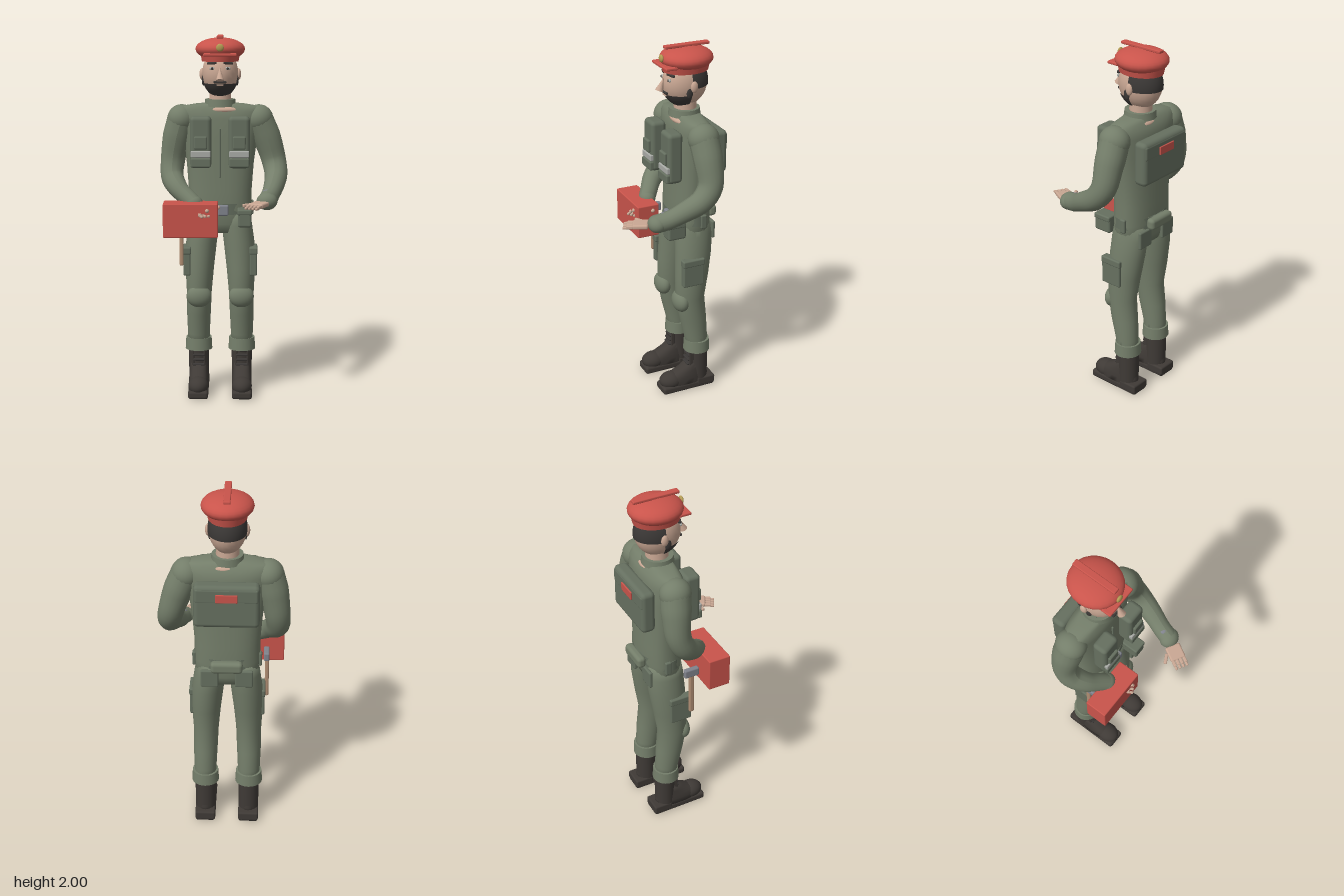
import * as THREE from 'three';
import { RoundedBoxGeometry } from 'three/addons/geometries/RoundedBoxGeometry.js';

const C = -0.022; // body centre line
const colour = (name, hex) => {
  const m = new THREE.MeshStandardMaterial({ color: hex });
  m.name = name;
  return m;
};

// Vertical loft through rings [x, y, z, rx, rz], listed from bottom to top
function loft(rings, power = 2, n = 28) {
  const pos = [], idx = [];
  const bend = v => Math.sign(v) * Math.abs(v) ** (2 / power);
  rings.forEach(([x, y, z, rx, rz]) => {
    for (let j = 0; j < n; j++) {
      const a = (j / n) * Math.PI * 2;
      pos.push(x + rx * bend(Math.cos(a)), y, z + rz * bend(Math.sin(a)));
    }
  });
  for (let i = 0; i < rings.length - 1; i++) for (let j = 0; j < n; j++) {
    const a = i * n + j, b = i * n + (j + 1) % n;
    idx.push(a, a + n, b, b, a + n, b + n);
  }
  const top = (rings.length - 1) * n;
  for (let j = 1; j < n - 1; j++) idx.push(0, j, j + 1, top, top + j + 1, top + j);
  const g = new THREE.BufferGeometry();
  g.setAttribute('position', new THREE.Float32BufferAttribute(pos, 3));
  g.setIndex(idx);
  g.computeVertexNormals();
  return g;
}

// Tapered tube through points [x, y, z, radius]
function limb(pts, n = 24, sides = 18) {
  const curve = new THREE.CatmullRomCurve3(pts.map(p => new THREE.Vector3(p[0], p[1], p[2])));
  const g = new THREE.TubeGeometry(curve, n, 1, sides);
  const p = g.attributes.position, v = new THREE.Vector3();
  for (let i = 0; i <= n; i++) {
    const c = curve.getPointAt(i / n), f = (i / n) * (pts.length - 1);
    const k = Math.min(Math.floor(f), pts.length - 2);
    const r = THREE.MathUtils.lerp(pts[k][3], pts[k + 1][3], f - k);
    for (let j = 0; j <= sides; j++) {
      const q = i * (sides + 1) + j;
      v.fromBufferAttribute(p, q).sub(c).multiplyScalar(r).add(c);
      p.setXYZ(q, v.x, v.y, v.z);
    }
  }
  g.computeVertexNormals();
  return g;
}

export function createModel() {
  const model = new THREE.Group();
  const green = colour('uniform green', 0x747e6a);
  const olive = colour('gear green', 0x667060);
  const red = colour('red', 0xc9544b);
  const skin = colour('skin', 0xc9a793);
  const leather = colour('boot leather', 0x3f3a36);
  const hair = colour('hair', 0x3b3836);
  const metal = colour('metal grey', 0x80838c);
  const silver = colour('pale grey', 0xa9aba6);
  const gold = colour('gold', 0xb39b54);
  const wood = colour('wood', 0xb08d72);

  const add = (name, geo, mat, x = 0, y = 0, z = 0, parent = model) => {
    const m = new THREE.Mesh(geo, mat);
    m.name = name;
    m.position.set(x, y, z);
    parent.add(m);
    return m;
  };
  const box = (name, mat, w, h, d, x, y, z, r = 0.008, parent = model) =>
    add(name, new RoundedBoxGeometry(w, h, d, 2, Math.min(r, w / 2.1, h / 2.1, d / 2.1)), mat, x, y, z, parent);
  const ball = (name, mat, rx, ry, rz, x, y, z, ...arc) => {
    const m = add(name, new THREE.SphereGeometry(1, 24, 16, ...arc), mat, x, y, z);
    m.scale.set(rx, ry, rz);
    return m;
  };
  const ring = (name, mat, rt, rb, h, x, y, z, sx = 1, sz = 1) => {
    const m = add(name, new THREE.CylinderGeometry(rt, rb, h, 24), mat, x, y, z);
    m.scale.set(sx, 1, sz);
    return m;
  };

  // Torso, collar and belt
  add('torso', loft([
    [C, 0.92, -0.14, 0.14, 0.085], [C, 0.97, -0.14, 0.17, 0.1], [C, 1.05, -0.14, 0.176, 0.107],
    [C, 1.15, -0.14, 0.174, 0.104], [C, 1.3, -0.14, 0.185, 0.102], [C, 1.45, -0.14, 0.205, 0.1],
    [C, 1.55, -0.138, 0.23, 0.095], [C, 1.59, -0.135, 0.236, 0.085], [C, 1.615, -0.132, 0.222, 0.068],
    [C, 1.63, -0.13, 0.13, 0.06], [C, 1.635, -0.13, 0.05, 0.04]], 2.4), green);
  ball('neckBase', skin, 0.125, 0.03, 0.084, C + 0.02, 1.598, -0.13);
  ring('collar', green, 0.082, 0.087, 0.04, C, 1.635, -0.126);
  ring('neck', skin, 0.058, 0.062, 0.12, C, 1.67, -0.13);
  box('zip', olive, 0.008, 0.27, 0.012, C, 1.365, -0.037, 0.003);
  ring('belt', olive, 0.18, 0.18, 0.06, C, 1.055, -0.14, 1, 0.62);
  box('buckle', metal, 0.06, 0.058, 0.03, -0.006, 1.052, -0.024);
  box('frontBeltPouch', olive, 0.075, 0.095, 0.105, 0.113, 1.015, -0.008, 0.012);
  box('frontBeltPouchFlap', olive, 0.08, 0.03, 0.108, 0.113, 1.05, -0.006);
  box('backBeltRoll', green, 0.17, 0.065, 0.05, C, 1.055, -0.265, 0.02);

  // Pouches, pockets, legs and boots on both sides
  for (const s of [-1, 1]) {
    const px = C + s * 0.104, lx = o => C + s * o;
    box('chestPouch', olive, 0.115, 0.28, 0.085, px, 1.43, -0.002, 0.022);
    box('chestPocket', olive, 0.07, 0.07, 0.02, px, 1.43, 0.046);
    box('chestBand', silver, 0.108, 0.036, 0.022, px, 1.368, 0.039, 0.006);
    box('chestFlap', olive, 0.11, 0.05, 0.025, px, 1.322, 0.04);
    box('backPocket', olive, 0.095, 0.1, 0.02, lx(0.092), 0.97, -0.242);
    box('sideBeltLoop', olive, 0.02, 0.08, 0.035, lx(0.176), 1.05, -0.16);

    add('leg', loft([
      [lx(0.122), 0.24, -0.152, 0.06, 0.062], [lx(0.122), 0.33, -0.147, 0.062, 0.066],
      [lx(0.121), 0.45, -0.128, 0.067, 0.078], [lx(0.118), 0.58, -0.11, 0.07, 0.084],
      [lx(0.115), 0.72, -0.122, 0.08, 0.095], [lx(0.105), 0.86, -0.135, 0.086, 0.103],
      [lx(0.092), 0.96, -0.14, 0.085, 0.104], [lx(0.085), 1.03, -0.14, 0.08, 0.095]]), green);
    ball('kneePad', green, 0.07, 0.063, 0.045, lx(0.118), 0.562, -0.054);
    box('thighPocket', olive, 0.04, 0.155, 0.125, lx(0.184), 0.76, -0.095);
    box('thighPocketFlap', olive, 0.046, 0.04, 0.13, lx(0.184), 0.822, -0.095);
    ring('trouserCuff', green, 0.072, 0.076, 0.068, lx(0.122), 0.272, -0.153, 1, 0.98);

    // Boot: shaft, foot, toe, sole and laces
    ring('bootShaft', leather, 0.058, 0.056, 0.2, lx(0.122), 0.15, -0.16);
    add('bootFoot', loft([
      [lx(0.122), 0.04, -0.08, 0.055, 0.14], [lx(0.122), 0.075, -0.082, 0.056, 0.138],
      [lx(0.122), 0.1, -0.1, 0.052, 0.115], [lx(0.122), 0.13, -0.13, 0.048, 0.083],
      [lx(0.122), 0.16, -0.15, 0.045, 0.063]], 2.3), leather);
    ball('bootToe', leather, 0.056, 0.05, 0.07, lx(0.122), 0.063, 0.005);
    box('sole', leather, 0.112, 0.045, 0.32, lx(0.122), 0.0235, -0.087, 0.015);
    box('heel', leather, 0.114, 0.05, 0.11, lx(0.122), 0.038, -0.193, 0.01);
    for (let i = 0; i < 5; i++)
      box('lace', hair, 0.066, 0.012, 0.022, lx(0.122), 0.13 + i * 0.027, -0.088 - i * 0.004, 0.005);
    for (const e of [-1, 1])
      box('laceEdge', leather, 0.012, 0.15, 0.025, lx(0.122) + e * 0.032, 0.185, -0.107, 0.005);
  }

  // Arms
  const arm = (name, pts) => {
    add(name, limb(pts), green);
    const [x, y, z, r] = pts[0];
    ball(name + 'Shoulder', green, r, r, r * 1.05, x, y, z);
    const [ex, ey, ez, er] = pts[pts.length - 1];
    ball(name + 'Cuff', green, er * 1.12, er * 0.95, er, ex, ey, ez);
  };
  arm('leftArm', [[0.19, 1.545, -0.135, 0.08], [0.24, 1.43, -0.14, 0.079], [0.276, 1.31, -0.135, 0.071],
    [0.285, 1.24, -0.085, 0.065], [0.268, 1.185, 0.01, 0.058], [0.245, 1.145, 0.09, 0.05], [0.23, 1.13, 0.15, 0.05]]);
  arm('rightArm', [[-0.234, 1.545, -0.135, 0.08], [-0.265, 1.43, -0.145, 0.08], [-0.285, 1.31, -0.145, 0.071],
    [-0.287, 1.23, -0.11, 0.065], [-0.25, 1.17, -0.04, 0.06], [-0.19, 1.12, 0.01, 0.05], [-0.165, 1.1, 0.03, 0.046]]);
  ball('watch', metal, 0.026, 0.01, 0.02, 0.235, 1.178, 0.112);

  // Hands: palm, four two-part fingers and a thumb
  const hand = (name, side, x, y, z, yaw, pitch) => {
    const g = new THREE.Group();
    g.name = name;
    g.position.set(x, y, z);
    g.rotation.set(pitch, yaw, 0, 'YXZ');
    model.add(g);
    box('palm', skin, 0.085, 0.026, 0.085, 0, 0, 0, 0.01, g);
    for (let i = 0; i < 4; i++) {
      const fx = -0.031 + i * 0.0207;
      box('finger', skin, 0.017, 0.018, 0.034, fx, -0.001, 0.055, 0.005, g);
      box('fingertip', skin, 0.014, 0.014, 0.024, fx, -0.005, 0.08, 0.005, g);
    }
    const t = box('thumb', skin, 0.018, 0.018, 0.058, -side * 0.06, -0.004, 0.012, 0.006, g);
    t.rotation.y = -side * 0.6;
  };
  hand('leftHand', 1, 0.185, 1.122, 0.225, -0.5, 0.05);
  hand('rightHand', -1, -0.13, 1.06, 0.075, 0.5, 0.1);

  // Carried box with fingertips showing on its face and end
  box('carriedBox', red, 0.295, 0.185, 0.125, -0.18, 1.02, 0.08, 0.006);
  ball('gripFinger', skin, 0.011, 0.011, 0.012, -0.09, 1.075, 0.141);
  ball('gripThumb', skin, 0.012, 0.011, 0.011, -0.033, 1.08, 0.055);

  // Hatchet hung at the right hip
  box('hatchetHandle', wood, 0.022, 0.27, 0.028, -0.235, 0.875, -0.04);
  box('hatchetHead', metal, 0.03, 0.05, 0.085, -0.232, 1.005, -0.04);

  // Backpack
  box('backpack', olive, 0.34, 0.24, 0.08, C, 1.43, -0.262, 0.025);
  box('backpackFlap', olive, 0.325, 0.08, 0.03, C, 1.495, -0.288, 0.012);
  box('backpackLabel', red, 0.112, 0.045, 0.009, C, 1.485, -0.306, 0.003);

  // Head, hair and face
  ball('head', skin, 0.098, 0.13, 0.124, C, 1.795, -0.126);
  ball('hair', hair, 0.102, 0.134, 0.129, C, 1.795, -0.126, Math.PI, Math.PI, 0.2 * Math.PI, 0.34 * Math.PI);
  ball('beard', hair, 0.101, 0.134, 0.129, C, 1.795, -0.126, 0, Math.PI, 0.63 * Math.PI, 0.37 * Math.PI);
  box('mouth', skin, 0.04, 0.008, 0.012, C, 1.737, -0.012, 0.003);
  box('moustache', hair, 0.07, 0.012, 0.014, C, 1.752, -0.008, 0.004);
  const nose = add('nose', new THREE.ConeGeometry(0.022, 0.075, 12), skin, C, 1.798, 0.007);
  nose.rotation.x = -0.38;
  for (const s of [-1, 1]) {
    ball('ear', skin, 0.014, 0.032, 0.02, C + s * 0.1, 1.79, -0.135);
    ball('sideburn', hair, 0.008, 0.03, 0.018, C + s * 0.092, 1.757, -0.112);
    ball('eyeWhite', silver, 0.015, 0.009, 0.008, C + s * 0.042, 1.825, -0.018);
    ball('iris', hair, 0.006, 0.007, 0.005, C + s * 0.042, 1.825, -0.012);
    const brow = box('brow', hair, 0.054, 0.014, 0.016, C + s * 0.044, 1.853, -0.025, 0.005);
    brow.rotation.set(0, s * 0.35, -s * 0.08);
  }

  // Beret with band, brim, ridge and badge
  ring('beretBand', red, 0.108, 0.1, 0.045, C, 1.882, -0.13, 1, 1.25);
  ball('beret', red, 0.135, 0.062, 0.144, C, 1.926, -0.135);
  box('brim', red, 0.18, 0.016, 0.07, C, 1.898, -0.013, 0.006);
  box('beretRidge', red, 0.036, 0.016, 0.255, C, 1.992, -0.135, 0.005);
  ball('badge', gold, 0.021, 0.021, 0.01, C, 1.936, 0.009);

  return model;
}
